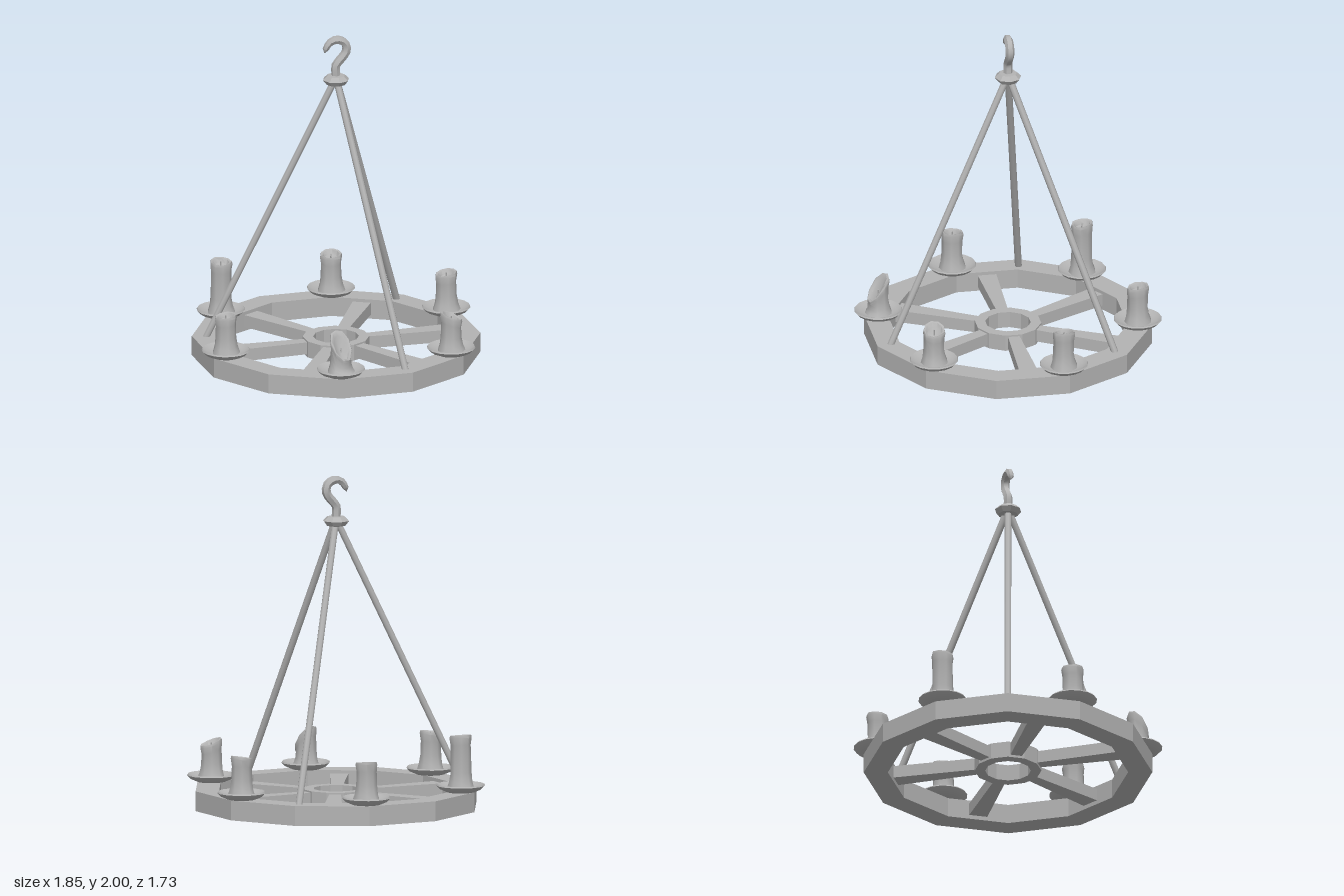
import * as THREE from 'three';
import { toCreasedNormals } from 'three/addons/utils/BufferGeometryUtils.js';

const grey = new THREE.MeshStandardMaterial({ color: 0xb3b3b3 });
grey.name = 'grey';

const part = (name, geometry, parent) => {
  const mesh = new THREE.Mesh(geometry, grey);
  mesh.name = name;
  parent.add(mesh);
  return mesh;
};

const polygon = (radius, sides) =>
  Array.from({ length: sides }, (_, i) => {
    const a = (i / sides) * Math.PI * 2;
    return new THREE.Vector2(radius * Math.cos(a), radius * Math.sin(a));
  });

// Flat shape in plan, raised from y0 to y1
function slab(shape, y0, y1) {
  const g = new THREE.ExtrudeGeometry(shape, { depth: y1 - y0, bevelEnabled: false });
  return g.rotateX(-Math.PI / 2).translate(0, y0, 0);
}

function ring(outer, inner, sides, y0, y1) {
  const shape = new THREE.Shape(polygon(outer, sides));
  shape.holes.push(new THREE.Path(polygon(inner, sides)));
  return slab(shape, y0, y1);
}

const lathe = (points, sides) =>
  new THREE.LatheGeometry(points.map(([r, y]) => new THREE.Vector2(r, y)), sides);

function rod(a, b, radius) {
  const dir = b.clone().sub(a);
  const g = new THREE.CylinderGeometry(radius, radius, dir.length(), 8);
  g.applyQuaternion(new THREE.Quaternion().setFromUnitVectors(new THREE.Vector3(0, 1, 0), dir.normalize()));
  const mid = a.clone().add(b).multiplyScalar(0.5);
  return g.translate(mid.x, mid.y, mid.z);
}

// Candle whose lip sinks from high to low towards the given angle
function candle({ high, low, towards, sharp = 1 }) {
  const g = lathe([
    [0, 0.14], [0.085, 0.14], [0.07, 0.185], [0.063, 0.24], [0.062, high - 0.06],
    [0.068, high - 0.015], [0.064, high], [0.052, high - 0.004], [0.042, high - 0.03], [0, high - 0.04],
  ], 9);
  const p = g.attributes.position;
  for (let i = 0; i < p.count; i++) {
    const x = p.getX(i), y = p.getY(i), z = p.getZ(i);
    const r = Math.hypot(x, z);
    const a = Math.atan2(z, x);
    const melt = r < 0.001 ? 0.6 : Math.pow(0.5 + 0.5 * Math.cos(a - towards), sharp);
    const upper = Math.max(0, (y - 0.14) / (high - 0.14));
    const wobble = r > 0.03 ? 1 + 0.04 * Math.sin(3 * a + y * 20) : 1;
    p.setXYZ(i, x * wobble, y - (high - low) * melt * upper, z * wobble);
  }
  return toCreasedNormals(g, 0.9);
}

// Round bar swept along a hook, narrowing to a closed tip
function hookGeometry() {
  const curve = new THREE.CatmullRomCurve3([
    [0, 1.74], [0, 1.82], [0.03, 1.855], [0.064, 1.9], [0.062, 1.945], [0.025, 1.975],
    [-0.025, 1.973], [-0.058, 1.94], [-0.073, 1.9],
  ].map(([x, y]) => new THREE.Vector3(x, y, 0)));
  const steps = 16, sides = 6;
  const g = new THREE.TubeGeometry(curve, steps, 0.027, sides);
  const p = g.attributes.position, v = new THREE.Vector3();
  for (let i = 0; i < p.count; i++) {
    const t = Math.floor(i / (sides + 1)) / steps;
    const scale = t === 1 ? 0 : t > 0.7 ? 1 - (t - 0.7) * 1.3 : 1;
    const c = curve.getPointAt(t);
    v.fromBufferAttribute(p, i).sub(c).multiplyScalar(scale).add(c);
    p.setXYZ(i, v.x, v.y, v.z);
  }
  return toCreasedNormals(g, 0.9).rotateY(Math.PI / 4);
}

export function createModel() {
  const model = new THREE.Group();
  model.name = 'candleChandelier';

  // Wheel
  const wheel = new THREE.Group();
  wheel.name = 'wheel';
  model.add(wheel);
  part('rim', ring(0.865, 0.72, 12, 0, 0.12), wheel);
  part('hub', ring(0.2, 0.137, 12, 0.01, 0.11), wheel);
  const spoke = new THREE.Shape([[0.185, -0.035], [0.697, -0.056], [0.697, 0.056], [0.185, 0.035]]
    .map(([x, y]) => new THREE.Vector2(x, y)));
  const spokeGeometry = slab(spoke, 0.025, 0.1);
  for (let i = 0; i < 6; i++) {
    part('spoke', spokeGeometry, wheel).rotation.y = -Math.PI / 12 - (i * Math.PI) / 3;
  }

  // Hanging rods
  for (let i = 0; i < 3; i++) {
    const a = Math.PI / 6 + (i * Math.PI * 2) / 3;
    const foot = new THREE.Vector3(0.785 * Math.cos(a), 0.1, 0.785 * Math.sin(a));
    const head = new THREE.Vector3(0.01 * Math.cos(a), 1.72, 0.01 * Math.sin(a));
    part('hangingRod', rod(foot, head, 0.021), model);
  }

  // Collar and hook
  part('collar', toCreasedNormals(lathe([
    [0, 1.69], [0.03, 1.695], [0.06, 1.702], [0.081, 1.73], [0.055, 1.755], [0, 1.758],
  ], 8), 0.5), model);
  part('hook', hookGeometry(), model);

  // Saucers and candles, starting at the left and turning towards the front
  const candles = [
    { high: 0.385, low: 0.335, towards: -0.6 },
    { high: 0.385, low: 0.23, towards: 0.5, sharp: 1.3 },
    { high: 0.385, low: 0.37, towards: 2.5 },
    { high: 0.47, low: 0.455, towards: 0.8 },
    { high: 0.385, low: 0.365, towards: 1.2 },
    { high: 0.385, low: 0.365, towards: 2.2 },
  ];
  const saucer = toCreasedNormals(lathe([
    [0, 0.121], [0.085, 0.121], [0.125, 0.138], [0.146, 0.16], [0.141, 0.168],
    [0.115, 0.152], [0.08, 0.143], [0, 0.141],
  ], 16), 0.7);
  candles.forEach((spec, i) => {
    const a = (i * Math.PI) / 3;
    const holder = new THREE.Group();
    holder.name = 'candleHolder';
    holder.position.set(0.78 * Math.cos(a), 0, 0.78 * Math.sin(a));
    model.add(holder);
    part('saucer', saucer, holder);
    part('candle', candle(spec), holder);
    const base = spec.high - 0.05 - 0.6 * (spec.high - spec.low);
    part('wick', new THREE.CylinderGeometry(0.004, 0.006, 0.05, 5).translate(0, base + 0.025, 0), holder);
  });

  return model;
}
